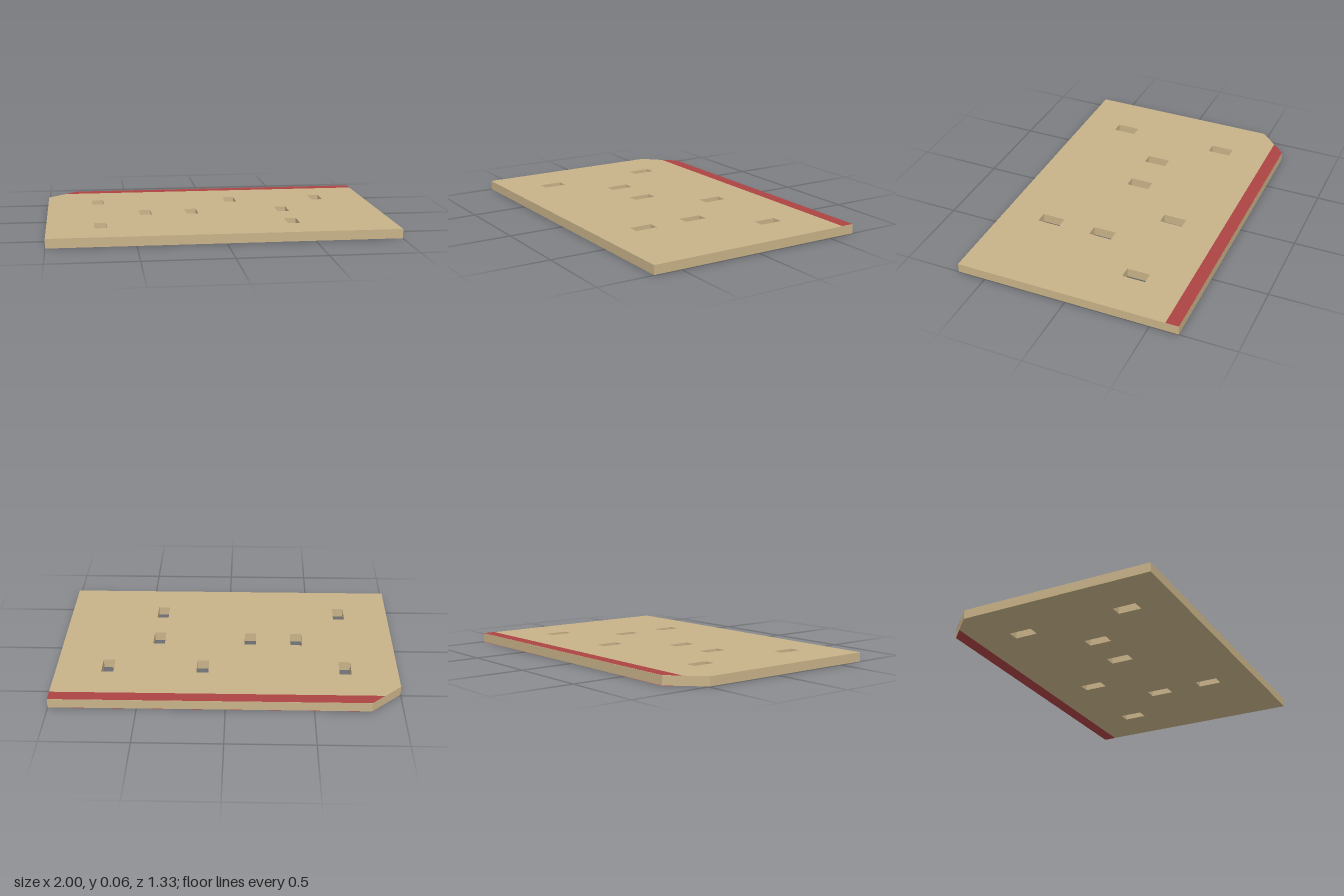
import * as THREE from 'three';

const W = 1, D = 0.667, T = 0.056, SKIN = 0.001;

// Shapes are drawn in plan: shape x = model x, shape y = -z (back is up).
function polygon(points, Kind = THREE.Shape) {
  return new Kind(points.map(([x, y]) => new THREE.Vector2(x, y)));
}

export function createModel() {
  const group = new THREE.Group();
  const card = new THREE.MeshStandardMaterial({ color: 0xc8b288 });
  card.name = 'tan card';
  const red = new THREE.MeshStandardMaterial({ color: 0xac4343, side: THREE.DoubleSide });
  red.name = 'red stripe';

  // Card with one clipped corner at the back
  const outline = polygon([[-W, -D], [W, -D], [W, D], [-0.823, D], [-W, 0.49]]);

  // Punched slots on a regular grid: [column, row]
  const slots = [[0, 0], [3, 0], [5, 0], [1, 1], [2, 1], [4, 1], [0, 2], [4, 2]];
  const hw = 0.035, hd = 0.069;
  for (const [col, row] of slots) {
    const x = -0.693 + col * 0.278;
    const y = 0.293 - row * 0.333;
    outline.holes.push(polygon(
      [[x - hw, y - hd], [x - hw, y + hd], [x + hw, y + hd], [x + hw, y - hd]], THREE.Path));
  }
  const bodyGeometry = new THREE.ExtrudeGeometry(outline, { depth: T - 2 * SKIN, bevelEnabled: false });
  bodyGeometry.rotateX(-Math.PI / 2);
  const body = new THREE.Mesh(bodyGeometry, card);
  body.name = 'punchedCard';
  body.position.y = SKIN;
  group.add(body);

  // Stripe along the back edge, on both faces
  const stripeGeometry = new THREE.ShapeGeometry(
    polygon([[-0.9, 0.59], [W, 0.59], [W, D], [-0.823, D]]));
  stripeGeometry.rotateX(-Math.PI / 2);
  for (const [name, y] of [['topStripe', T], ['bottomStripe', 0]]) {
    const stripe = new THREE.Mesh(stripeGeometry, red);
    stripe.name = name;
    stripe.position.y = y;
    group.add(stripe);
  }
  return group;
}
